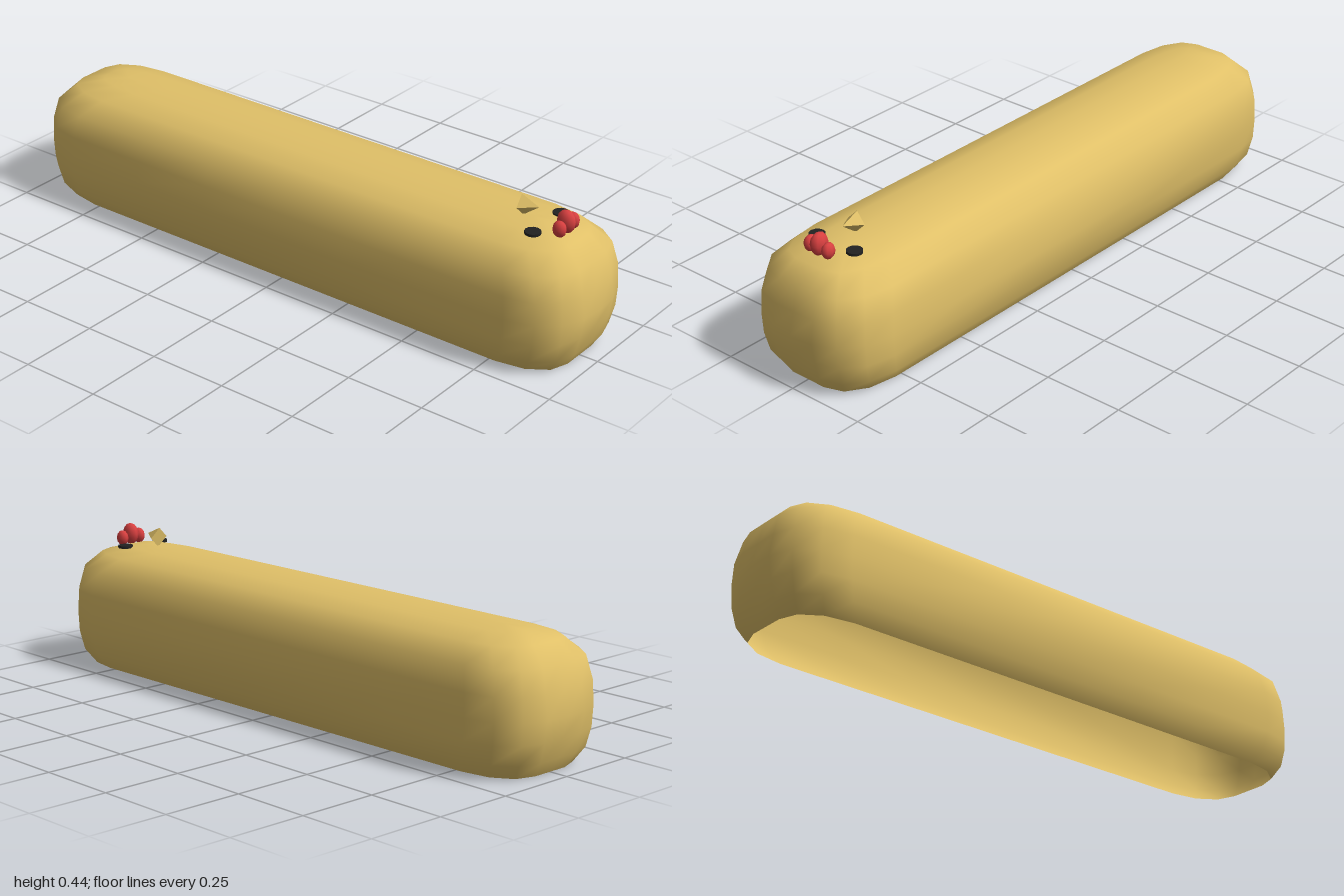
import * as THREE from 'three';
import { mergeVertices } from 'three/addons/utils/BufferGeometryUtils.js';

// Closed horizontal outline: rounded corners, sides and ends bulging by b
function outline(hx, hz, b) {
  const quarter = [
    [0, hz + b], [hx * 0.35, hz + b * 0.5], [hx * 0.68, hz - 0.02], [hx * 0.91, hz - 0.08],
    [hx, hz - 0.17], [hx + b * 0.5, (hz - 0.17) * 0.66], [hx + b * 0.85, (hz - 0.17) * 0.33], [hx + b, 0],
  ];
  const half = [...quarter, ...quarter.slice(0, -1).reverse().map(([x, z]) => [x, -z])];
  return [...half, ...half.slice(1, -1).reverse().map(([x, z]) => [-x, z])];
}

// Open-bottomed shell lofted through rings of [y, half width, half length, bulge]
function bodyGeometry() {
  const rings = [
    [0, 0.175, 0.94, 0], [0.045, 0.205, 0.968, 0], [0.105, 0.215, 0.982, 0],
    [0.17, 0.216, 0.986, 0.014], [0.24, 0.214, 0.982, 0], [0.31, 0.197, 0.965, 0],
    [0.36, 0.145, 0.915, 0], [0.38, 0.075, 0.84, 0], [0.386, 0, 0.78, 0],
  ];
  const positions = [], index = [];
  let n = 0;
  rings.forEach(([y, hx, hz, b], i) => {
    const loop = outline(hx, hz, b);
    n = loop.length;
    loop.forEach(([x, z]) => positions.push(x, y, z));
    if (i === 0) return;
    for (let j = 0; j < n; j++) {
      const k = (j + 1) % n, lo = (i - 1) * n, hi = i * n;
      index.push(lo + j, lo + k, hi + k, lo + j, hi + k, hi + j);
    }
  });
  const geometry = new THREE.BufferGeometry();
  geometry.setAttribute('position', new THREE.Float32BufferAttribute(positions, 3));
  geometry.setIndex(index);
  const merged = mergeVertices(geometry, 1e-5);
  merged.computeVertexNormals();
  return merged;
}

export function createModel() {
  const gold = new THREE.MeshStandardMaterial({ color: 0xe0c068, side: THREE.DoubleSide });
  gold.name = 'gold';
  const red = new THREE.MeshStandardMaterial({ color: 0xd84040 });
  red.name = 'red';
  const dark = new THREE.MeshStandardMaterial({ color: 0x222222 });
  dark.name = 'dark';

  const model = new THREE.Group();
  model.name = 'longBird';
  const add = (name, geometry, material, x, y, z) => {
    const mesh = new THREE.Mesh(geometry, material);
    mesh.name = name;
    mesh.position.set(x, y, z);
    model.add(mesh);
    return mesh;
  };

  add('body', bodyGeometry(), gold, 0, 0, 0);

  // Comb: one tall lobe between two small ones
  const lobe = new THREE.SphereGeometry(1, 8, 6);
  add('combMiddle', lobe, red, 0, 0.405, 0.872).scale.set(0.022, 0.035, 0.03);
  for (const side of [-1, 1]) {
    const name = side > 0 ? 'Left' : 'Right';
    add('comb' + name, lobe, red, side * 0.034, 0.395, 0.872).scale.set(0.017, 0.025, 0.022);
    // Eyes: thin discs lying on the back
    add('eye' + name, new THREE.CylinderGeometry(0.024, 0.024, 0.008, 12), dark, side * 0.072, 0.381, 0.81);
  }

  // Beak: four-sided cone pointing forward
  const beak = new THREE.ConeGeometry(0.032, 0.055, 4).toNonIndexed();
  beak.computeVertexNormals();
  add('beak', beak, gold, 0, 0.416, 0.755).rotation.x = Math.PI / 2 - 0.12;

  return model;
}
